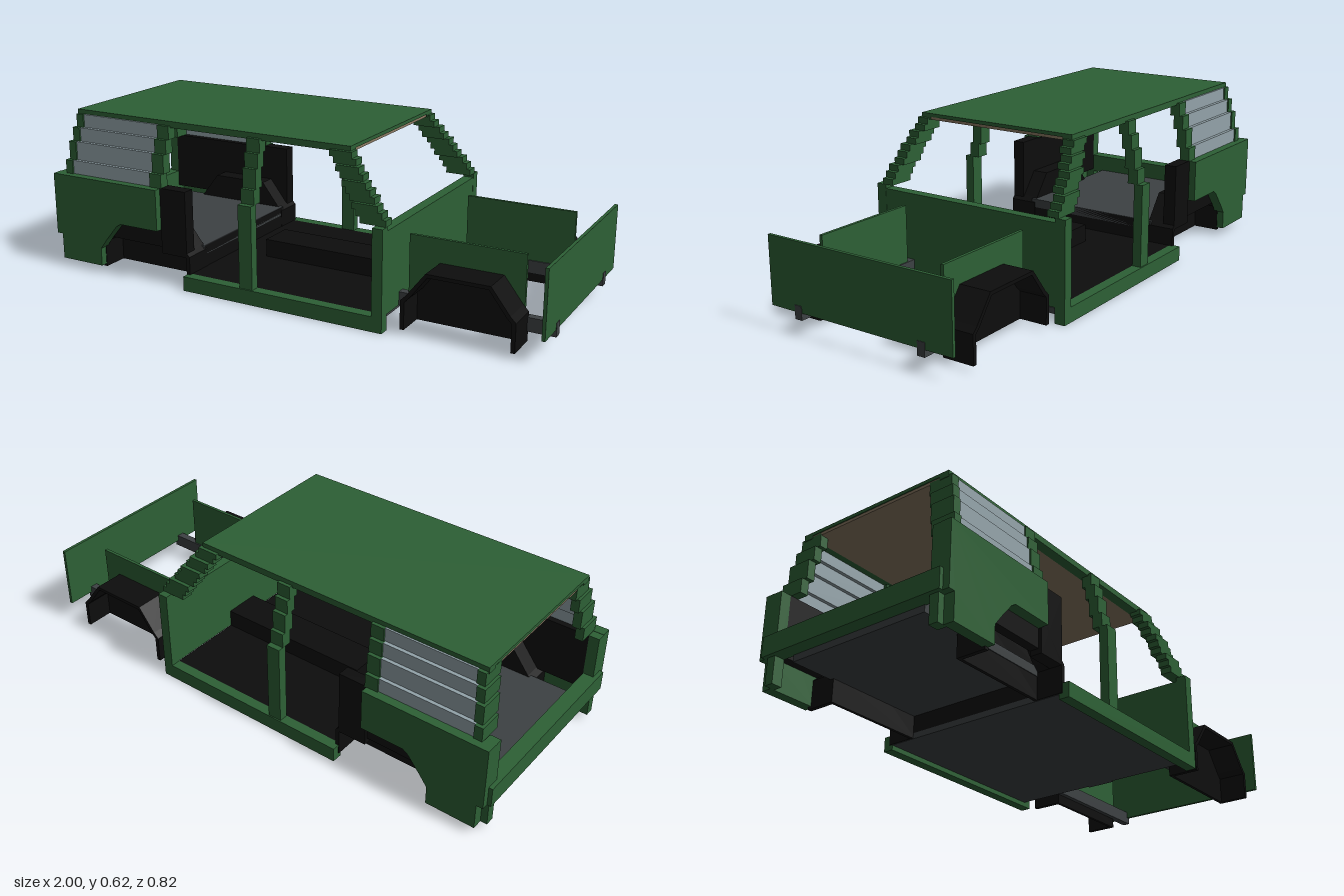
import * as THREE from 'three';

const mat = (name, color) => {
  const m = new THREE.MeshStandardMaterial({ color });
  m.name = name;
  return m;
};

export function createModel() {
  const green = mat('body green', 0x2d6035);
  const black = mat('liner black', 0x0d0d0d);
  const grey = mat('chassis grey', 0x3d4143);
  const glass = mat('window glass', 0x93a3a9);
  const tan = mat('headliner tan', 0x8a7962);

  const car = new THREE.Group();
  car.name = 'carBody';

  // Box given by its limits on each axis
  const box = (name, m, x0, x1, y0, y1, z0, z1) => {
    const mesh = new THREE.Mesh(new THREE.BoxGeometry(x1 - x0, y1 - y0, z1 - z0), m);
    mesh.position.set((x0 + x1) / 2, (y0 + y1) / 2, (z0 + z1) / 2);
    mesh.name = name;
    car.add(mesh);
  };
  // The same box on both sides of the car
  const pair = (name, m, x0, x1, y0, y1, z0, z1) => {
    box(name + 'Left', m, x0, x1, y0, y1, z0, z1);
    box(name + 'Right', m, x0, x1, y0, y1, -z1, -z0);
  };
  // Side profile extruded in z, on both sides of the car
  const profilePair = (name, m, pts, z0, z1) => {
    const shape = new THREE.Shape(pts.map(([x, y]) => new THREE.Vector2(x, y)));
    const geo = new THREE.ExtrudeGeometry(shape, { depth: z1 - z0, bevelEnabled: false });
    [z0, -z1].forEach((z, i) => {
      const mesh = new THREE.Mesh(geo, m);
      mesh.position.z = z;
      mesh.name = name + (i ? 'Right' : 'Left');
      car.add(mesh);
    });
  };

  // Floors, tunnel and chassis rails
  box('frontFloor', grey, -0.385, 0.40, 0.018, 0.04, -0.37, 0.37);
  box('carpet', black, -0.385, 0.396, 0.04, 0.056, -0.37, 0.37);
  box('tunnel', black, -0.235, 0.396, 0.056, 0.125, -0.07, 0.07);
  box('tunnelFront', grey, 0.38, 0.41, 0.018, 0.058, -0.055, 0.055);
  box('rearFloor', grey, -0.95, -0.375, 0.105, 0.14, -0.285, 0.285);
  box('floorStep', black, -0.385, -0.375, 0.02, 0.138, -0.28, 0.28);
  pair('frontRail', grey, 0.43, 1, 0.058, 0.108, 0.245, 0.275);

  // Firewall, sills, door posts, nose panel and inner wings
  box('firewall', green, 0.395, 0.434, 0.058, 0.357, -0.37, 0.37);
  pair('sill', green, -0.385, 0.435, 0, 0.056, 0.37, 0.41);
  pair('frontPost', green, 0.395, 0.435, 0.056, 0.372, 0.37, 0.41);
  pair('middlePostLower', green, -0.14, -0.085, 0.056, 0.37, 0.37, 0.405);
  box('nosePanel', green, 0.986, 0.998, 0.083, 0.33, -0.383, 0.383);
  pair('innerWing', green, 0.465, 0.885, 0.06, 0.32, 0.25, 0.262);

  // Wheel housings: an inner wall and a hollow arched shell
  const archOuter = [[-0.205, 0.02], [-0.205, 0.125], [-0.185, 0.145], [-0.115, 0.235],
    [0.115, 0.235], [0.185, 0.145], [0.205, 0.125], [0.205, 0.02]];
  const archInner = [[0.19, 0.02], [0.19, 0.12], [0.172, 0.138], [0.108, 0.222],
    [-0.108, 0.222], [-0.172, 0.138], [-0.19, 0.12], [-0.19, 0.02]];
  const shift = (pts, dx) => pts.map(([x, y]) => [x + dx, y]);
  [['front', 0.695, 0.264], ['rear', -0.578, 0.27]].forEach(([name, x, z]) => {
    profilePair(name + 'HousingWall', black, shift(archOuter, x), z, z + 0.012);
    profilePair(name + 'HousingShell', black, shift([...archOuter, ...archInner], x), z + 0.012, 0.383);
  });

  // Rear quarter panels with a cut-out for the wheel
  profilePair('rearQuarter', green, [[-0.985, 0.372], [-0.985, 0.13], [-0.96, 0.13],
    [-0.96, 0.03], [-0.77, 0.03], [-0.77, 0.1], [-0.74, 0.14], [-0.69, 0.2],
    [-0.67, 0.213], [-0.498, 0.213], [-0.498, 0.372]], 0.37, 0.41);
  pair('rearCorner', green, -0.985, -0.945, 0.03, 0.371, 0.335, 0.37);
  box('rearCrossbar', green, -1, -0.945, 0.13, 0.205, -0.385, 0.385);
  pair('rearLiner', black, -0.945, -0.498, 0.14, 0.37, 0.335, 0.37);
  pair('rearLinerFront', black, -0.498, -0.385, 0.12, 0.374, 0.335, 0.383);

  // Stepped upper sides: rows lean inwards towards the roof
  const levels = [0.37, 0.425, 0.497, 0.55, 0.6];
  const outer = [0.383, 0.369, 0.355, 0.341];
  outer.forEach((z, i) => {
    const y0 = levels[i], y1 = levels[i + 1];
    const rear = -0.943 + i * 0.01, mid = -0.543 + i * 0.004;
    pair('middlePost', green, -0.14, -0.085, y0, y1, z - 0.04, z);
    pair('rearSidePost', green, mid, mid + 0.052, y0, y1, z - 0.04, z);
    pair('cornerPost', green, rear, rear + 0.032, y0, y1, z - 0.093, z);
    pair('sideWindow', glass, rear + 0.032, mid, y0, y1, z - 0.025, z - 0.006);
  });

  // Sloping windscreen posts, built in small steps
  const steps = 10;
  for (let i = 0; i < steps; i++) {
    const t = i / (steps - 1), y0 = 0.372 + i * 0.0228;
    const z = outer[Math.min(3, levels.filter((l) => l <= y0 + 0.005).length - 1)];
    const x0 = 0.335 - t * 0.14;
    pair('windscreenPost', green, x0, Math.min(0.434, x0 + 0.1 - t * 0.015), y0, y0 + 0.0228, z - 0.045, z);
  }

  // Roof, its side rails and the headliner
  box('roof', green, -0.915, 0.27, 0.604, 0.617, -0.328, 0.328);
  pair('roofRail', green, -0.915, 0.27, 0.593, 0.604, 0.29, 0.328);
  box('headliner', tan, -0.912, 0.266, 0.593, 0.604, -0.29, 0.29);

  return car;
}
